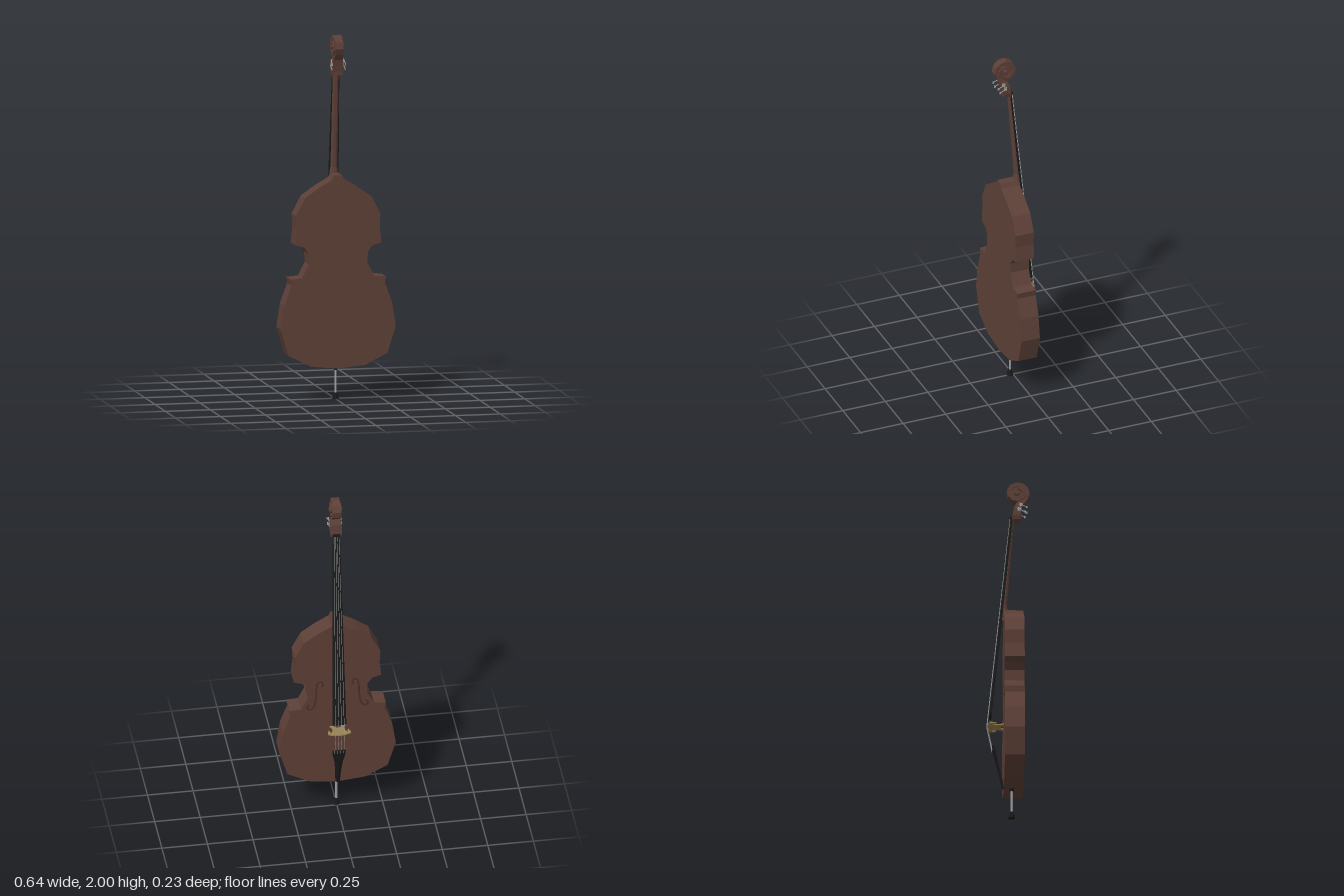
import * as THREE from 'three';

const mat = (color) => new THREE.MeshStandardMaterial({ color, flatShading: true, side: THREE.DoubleSide });
const WOOD = mat(0x5d4037), DARK = mat(0x4a3028), BLACK = mat(0x1a1a1a), GOLD = mat(0x9a8250), STEEL = mat(0x9e9e9e);
const V = (x, y, z) => new THREE.Vector3(x, y, z);

// Closed skin through a list of equal-length rings, with end caps
function loft(rings) {
  const pos = [], n = rings[0].length;
  const tri = (a, b, c) => pos.push(...a, ...b, ...c);
  for (let i = 0; i + 1 < rings.length; i++) {
    for (let j = 0; j < n; j++) {
      const k = (j + 1) % n, lo = rings[i], hi = rings[i + 1];
      tri(lo[j], lo[k], hi[k]);
      tri(lo[j], hi[k], hi[j]);
    }
  }
  const last = rings[rings.length - 1];
  for (let j = 1; j + 1 < n; j++) {
    tri(rings[0][0], rings[0][j + 1], rings[0][j]);
    tri(last[0], last[j], last[j + 1]);
  }
  const g = new THREE.BufferGeometry();
  g.setAttribute('position', new THREE.Float32BufferAttribute(pos, 3));
  g.computeVertexNormals();
  return g;
}

// Mirrors a half outline (listed from top centre to bottom centre) into a shape
function mirrored(half) {
  const left = half.filter(([x]) => x > 0).reverse().map(([x, y]) => [-x, y]);
  return new THREE.Shape([...half, ...left].map(([x, y]) => new THREE.Vector2(x, y)));
}

// Straight round rod between two points
function rod(a, b, r, sides = 5) {
  return new THREE.TubeGeometry(new THREE.LineCurve3(a, b), 1, r, sides, false);
}

export function createModel() {
  const model = new THREE.Group();
  const add = (name, geometry, material) => {
    const m = new THREE.Mesh(geometry, material);
    m.name = name;
    model.add(m);
    return m;
  };

  // Body: waisted outline with corners, extruded front to back
  const outline = [[0, 1.235], [0.022, 1.235], [0.034, 1.21], [0.106, 1.17], [0.185, 1.115], [0.235, 1.02],
    [0.231, 0.945], [0.24, 0.86], [0.19, 0.845], [0.165, 0.81], [0.163, 0.75], [0.2, 0.678], [0.265, 0.672],
    [0.26, 0.638], [0.3, 0.53], [0.32, 0.4], [0.275, 0.253], [0.15, 0.19], [0, 0.175]];
  const body = new THREE.ExtrudeGeometry(mirrored(outline), { depth: 0.108, bevelEnabled: false });
  add('body', body.translate(0, 0, -0.025), WOOD);

  // Sound holes: slim S curves with curled ends
  for (const s of [-1, 1]) {
    const pts = [[0.09, 0.815], [0.08, 0.828], [0.088, 0.848], [0.106, 0.845], [0.115, 0.82], [0.118, 0.765],
      [0.124, 0.71], [0.137, 0.678], [0.156, 0.67], [0.168, 0.688], [0.157, 0.702]];
    const curve = new THREE.CatmullRomCurve3(pts.map(([x, y]) => V(s * x, y, 0)));
    const hole = add('soundHole', new THREE.TubeGeometry(curve, 28, 0.0055, 6, false), DARK);
    hole.scale.z = 0.3;
    hole.position.z = -0.0255;
  }

  // Neck: half-round bar leaning back, with a heel on the body
  const neckRing = (y, z, w, d) => [[w, y, z - d], [-w, y, z - d], [-w, y, z], [-w * 0.5, y, z + d * 0.8],
    [w * 0.5, y, z + d * 0.8], [w, y, z]];
  add('neck', loft([neckRing(1.17, -0.022, 0.026, 0.013), neckRing(1.235, -0.018, 0.024, 0.018),
    neckRing(1.27, -0.018, 0.019, 0.013), neckRing(1.79, 0.024, 0.017, 0.01)]), WOOD);

  // Fingerboard: long tapering arched strip under the strings
  const boardRing = (y, z, w, t) => [[w, y, z + t], [w, y, z], [w * 0.45, y, z - t * 0.5],
    [-w * 0.45, y, z - t * 0.5], [-w, y, z], [-w, y, z + t]];
  add('fingerboard', loft([boardRing(0.605, -0.1, 0.037, 0.008), boardRing(1.2, -0.041, 0.028, 0.009),
    boardRing(1.785, 0.016, 0.02, 0.008)]), BLACK);

  // Tailpiece: wide at the strings, narrow at the bottom edge
  add('tailpiece', loft([boardRing(0.178, -0.03, 0.012, 0.008), boardRing(0.25, -0.045, 0.015, 0.008),
    boardRing(0.33, -0.064, 0.022, 0.008), boardRing(0.39, -0.078, 0.035, 0.008),
    boardRing(0.42, -0.085, 0.036, 0.008)]), BLACK);

  // Bridge: thin arched plate with horns and feet, standing off the body
  const bridgeHalf = [[0, 0.116], [0.03, 0.113], [0.061, 0.101], [0.063, 0.09], [0.055, 0.065], [0.048, 0.073],
    [0.051, 0.086], [0.042, 0.088], [0.034, 0.07], [0.034, 0.045], [0.045, 0.025], [0.022, 0.025], [0.015, 0.04], [0, 0.046]];
  const bridge = new THREE.ExtrudeGeometry(mirrored(bridgeHalf), { depth: 0.007, bevelEnabled: false });
  add('bridge', bridge.rotateX(-Math.PI / 2).translate(0, 0.541, 0), GOLD);

  // Strings: nut to bridge, then down to the tailpiece
  for (let i = 0; i < 4; i++) {
    const u = (i - 1.5) / 1.5, top = V(u * 0.013, 1.79, 0.009);
    const rest = V(u * 0.024, 0.545, -0.118 + 0.003 * u * u);
    add('string', rod(top, rest, 0.0013), STEEL);
    add('stringTail', rod(rest, V(u * 0.025, 0.405, -0.088), 0.0013), STEEL);
  }
  add('nut', new THREE.BoxGeometry(0.04, 0.01, 0.016).translate(0, 1.788, 0.015), BLACK);

  // Pegbox flowing into a scroll that widens toward its eye
  const strip = (y, z, ny, nz, w, t) => [[w, y + ny * t, z + nz * t], [w, y - ny * t, z - nz * t],
    [-w, y - ny * t, z - nz * t], [-w, y + ny * t, z + nz * t]];
  const cy = 1.938, cz = 0.053;
  const head = [strip(1.778, 0.042, 0.1, 1, 0.027, 0.023), strip(1.8, 0.044, 0.1, 1, 0.033, 0.022),
    strip(1.84, 0.051, -0.2, 0.98, 0.033, 0.022), strip(1.872, 0.061, -0.3, 0.95, 0.024, 0.018)];
  for (let i = 0; i <= 20; i++) {
    const a = -0.7 + i * 0.6, outer = 0.063 - Math.max(0, i - 6) * 0.0036, t = 0.014 - i * 0.0004;
    const r = outer - t;
    head.push(strip(cy + r * Math.sin(a), cz + r * Math.cos(a), Math.sin(a), Math.cos(a), 0.02 + i * 0.0007, t));
  }
  add('scroll', loft(head), WOOD);
  const disc = (name, r, w) => add(name, new THREE.CylinderGeometry(r, r, w, 10).rotateZ(Math.PI / 2).translate(0, cy, cz), WOOD);
  disc('scrollCore', 0.045, 0.036);
  disc('scrollEye', 0.011, 0.07);

  // Tuning machines: side plates, shafts and small keys behind
  for (const s of [-1, 1]) {
    for (const [y, z] of [[1.862, 0.068], [1.835, 0.058]]) {
      add('tunerPlate', new THREE.BoxGeometry(0.004, 0.02, 0.018).translate(s * 0.034, y, z), STEEL);
      add('tunerShaft', rod(V(s * 0.037, y, z), V(s * 0.037, y - 0.014, z + 0.03), 0.0025), STEEL);
      add('tunerKey', new THREE.BoxGeometry(0.004, 0.012, 0.009).translate(s * 0.037, y - 0.016, z + 0.032), STEEL);
    }
  }

  // Endpin: collar, steel rod and rubber foot
  const pinZ = 0.018;
  add('endpinCollar', new THREE.CylinderGeometry(0.014, 0.011, 0.02, 10).translate(0, 0.17, pinZ), BLACK);
  add('endpinRod', new THREE.CylinderGeometry(0.0065, 0.0065, 0.15, 8).translate(0, 0.1, pinZ), STEEL);
  add('endpinFoot', new THREE.CylinderGeometry(0.011, 0.019, 0.036, 10).translate(0, 0.018, pinZ), BLACK);

  return model;
}
